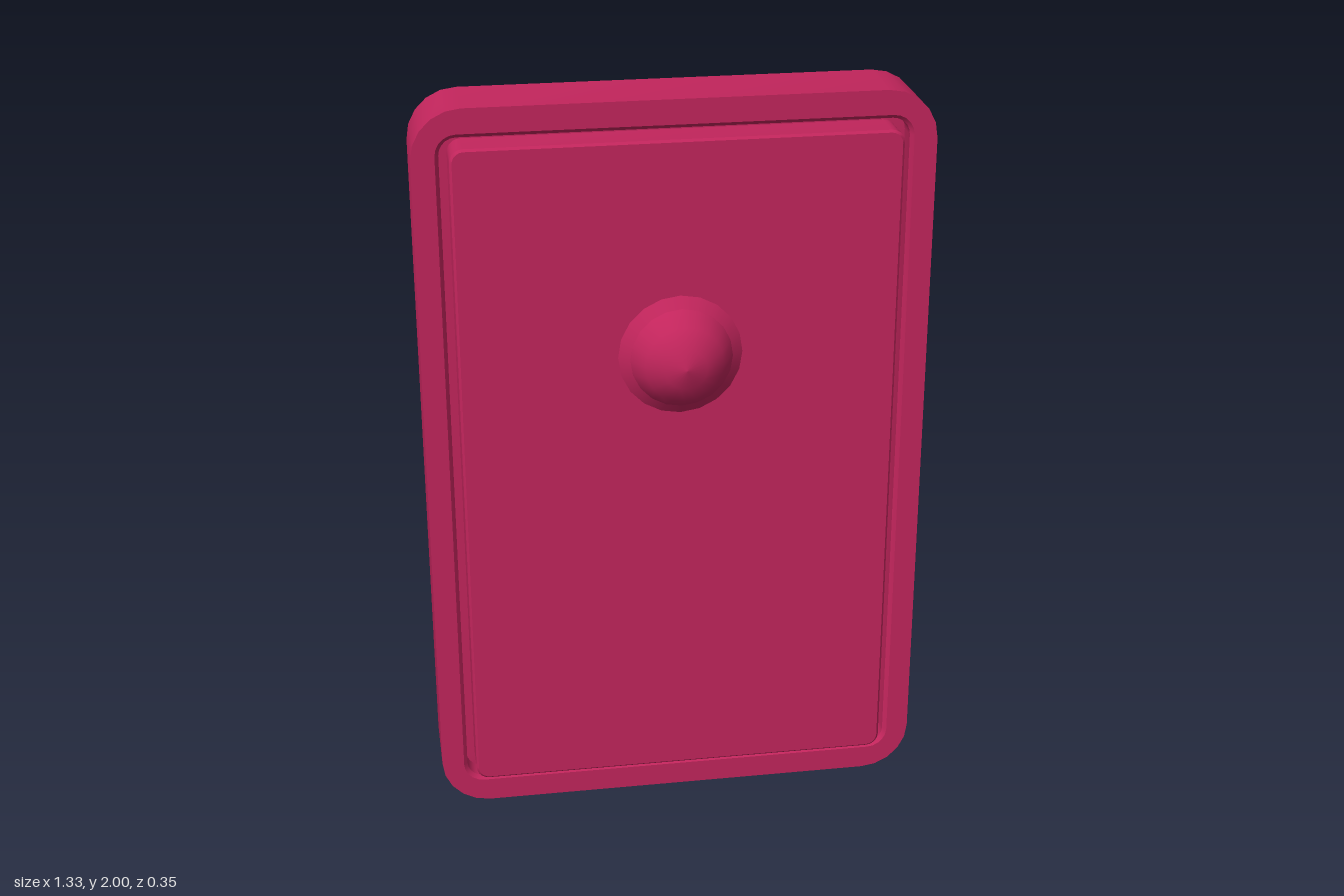
import * as THREE from 'three';
import { toCreasedNormals } from 'three/addons/utils/BufferGeometryUtils.js';

const material = new THREE.MeshStandardMaterial({ color: 0xc2255c, side: THREE.DoubleSide });
const CORNER = 5; // segments per rounded corner

// Counter-clockwise rounded rectangle at depth z; hw and hh are half sizes
function ring([hw, hh, r, z]) {
  const points = [];
  const signs = [[1, 1], [-1, 1], [-1, -1], [1, -1]];
  signs.forEach(([sx, sy], q) => {
    for (let i = 0; i <= CORNER; i++) {
      const a = (q + i / CORNER) * Math.PI / 2;
      points.push([sx * (hw - r) + r * Math.cos(a), 1 + sy * (hh - r) + r * Math.sin(a), z]);
    }
  });
  return points;
}

// Surface through a list of rounded rectangles, running back to front
function loft(sections, capBack = false, capFront = false) {
  const rings = sections.map(ring);
  const n = rings[0].length;
  const positions = rings.flat(2);
  const index = [];
  for (let s = 0; s < rings.length - 1; s++) {
    for (let i = 0; i < n; i++) {
      const j = (i + 1) % n;
      const a = s * n + i, b = s * n + j;
      index.push(a, b, b + n, a, b + n, a + n);
    }
  }
  const last = (rings.length - 1) * n;
  for (let i = 1; i < n - 1; i++) {
    if (capBack) index.push(0, i + 1, i);
    if (capFront) index.push(last, last + i, last + i + 1);
  }
  const geometry = new THREE.BufferGeometry();
  geometry.setAttribute('position', new THREE.Float32BufferAttribute(positions, 3));
  geometry.setIndex(index);
  return toCreasedNormals(geometry, 0.5);
}

export function createModel() {
  const group = new THREE.Group();
  const add = (name, geometry) => {
    const mesh = new THREE.Mesh(geometry, material);
    mesh.name = name;
    group.add(mesh);
    return mesh;
  };

  // Thin outer frame, open at the back, with a lip turned in around the panel
  add('frame', loft([
    [0.665, 1, 0.13, -0.175],
    [0.665, 1, 0.13, 0.022],
    [0.605, 0.935, 0.055, 0.022],
    [0.595, 0.925, 0.045, 0.012],
    [0.595, 0.925, 0.045, -0.04],
  ]));

  // Front panel with a flange closing the groove behind it
  add('panel', loft([
    [0.595, 0.925, 0.045, -0.04],
    [0.572, 0.907, 0.035, -0.039],
    [0.572, 0.907, 0.035, 0.054],
    [0.566, 0.901, 0.03, 0.06],
  ], true, true));

  // Raised slab on the back of the panel
  add('backSlab', new THREE.BoxGeometry(0.97, 1.7, 0.035)).position.set(0, 1, -0.055);

  // Flared collar and domed knob
  const lathe = (points) => new THREE.LatheGeometry(points.map(([r, h]) => new THREE.Vector2(r, h)), 20);
  const place = (mesh) => {
    mesh.rotation.x = Math.PI / 2;
    mesh.position.set(0, 1.335, 0);
  };
  place(add('knobCollar', lathe([[0.165, 0.058], [0.13, 0.084]])));
  place(add('knob', lathe([[0.135, 0.07], [0.133, 0.085], [0.102, 0.131], [0.054, 0.163], [0, 0.174]])));

  return group;
}
